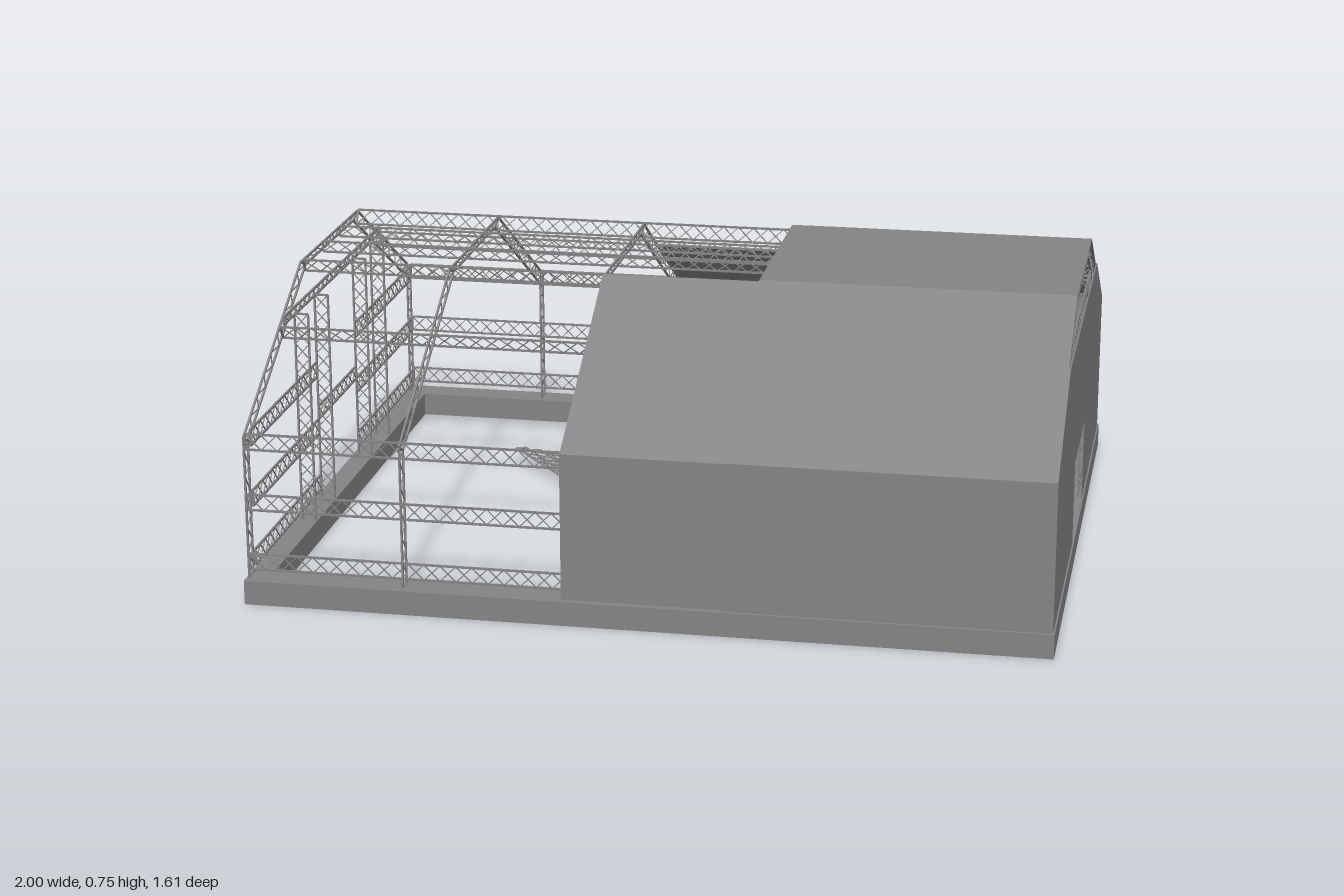
import * as THREE from 'three';
import { mergeGeometries } from 'three/addons/utils/BufferGeometryUtils.js';

const mat = new THREE.MeshStandardMaterial({ color: 0x848484, flatShading: true, side: THREE.DoubleSide });
const V = (x, y, z) => new THREE.Vector3(x, y, z);
const CHORD = 0.005, LACE = 0.0025;

// square bar between two points
function bar(a, b, t) {
  const d = b.clone().sub(a);
  const g = new THREE.BoxGeometry(t, d.length(), t);
  g.applyQuaternion(new THREE.Quaternion().setFromUnitVectors(V(0, 1, 0), d.normalize()));
  const m = a.clone().add(b).multiplyScalar(0.5);
  return g.translate(m.x, m.y, m.z);
}

// flat lattice between an outer chord a0-a1 and an inner chord b0-b1
function lattice(a0, a1, b0, b1, pitch, crossed) {
  const parts = [bar(a0, a1, CHORD), bar(b0, b1, CHORD), bar(a0, b0, CHORD), bar(a1, b1, CHORD)];
  const n = Math.max(2, Math.round(a0.distanceTo(a1) / pitch));
  for (let i = 0; i < n; i++) {
    const p = [a0.clone().lerp(a1, i / n), a0.clone().lerp(a1, (i + 1) / n)];
    const q = [b0.clone().lerp(b1, i / n), b0.clone().lerp(b1, (i + 1) / n)];
    if (crossed || i % 2 === 0) parts.push(bar(p[0], q[1], LACE));
    if (crossed || i % 2 === 1) parts.push(bar(q[0], p[1], LACE));
  }
  return parts;
}

// parallel lattice: chord a-b and the same chord moved by off
const truss = (a, b, off) => lattice(a, b, a.clone().add(off), b.clone().add(off), 0.04, true);

// closed outline of [z, y] points; mirrored and reversed so it keeps its winding
function outline(C, pts) {
  const s = new C();
  [...pts].reverse().forEach(([z, y], i) => (i ? s.lineTo(-z, y) : s.moveTo(-z, y)));
  s.closePath();
  return s;
}
const extrudeX = (shape, x0, x1) =>
  new THREE.ExtrudeGeometry(shape, { depth: x1 - x0, bevelEnabled: false })
    .rotateY(Math.PI / 2).translate(x0, 0, 0);

export function createModel() {
  const root = new THREE.Group();
  const add = (name, geos) => {
    const m = new THREE.Mesh(Array.isArray(geos) ? mergeGeometries(geos) : geos, mat);
    m.name = name;
    root.add(m);
  };

  // foundation ring
  const rect = (C, x, z) => outline(C, [[-x, -z], [x, -z], [x, z], [-x, z]]);
  const ring = rect(THREE.Shape, 1, 0.806);
  ring.holes.push(rect(THREE.Path, 0.945, 0.73));
  add('foundation', new THREE.ExtrudeGeometry(ring, { depth: 0.062, bevelEnabled: false }).rotateX(-Math.PI / 2));

  // portal frames, profile points are [z, y]
  const outer = [[0.782, 0.06], [0.782, 0.428], [0.265, 0.73], [-0.265, 0.73], [-0.782, 0.428], [-0.782, 0.06]];
  const inner = [[0.748, 0.06], [0.748, 0.408], [0.222, 0.714], [-0.222, 0.714], [-0.748, 0.408], [-0.748, 0.06]];
  for (const x of [-0.993, -0.6, -0.2, 0.2, 0.6, 0.986]) {
    const at = ([z, y]) => V(x, y, z);
    const parts = [];
    for (let i = 0; i < 5; i++)
      parts.push(...lattice(at(outer[i]), at(outer[i + 1]), at(inner[i]), at(inner[i + 1]), 0.035, false));
    add('portalFrame', parts);
  }

  // wall girts and roof purlins along the length
  for (const s of [1, -1]) {
    const lengthwise = (name, z, y, off) => add(name, truss(V(-0.99, y, z), V(0.985, y, z), off));
    for (const y of [0.085, 0.24, 0.397]) lengthwise('wallGirt', s * 0.78, y, V(0, 0.04, 0));
    for (const [z, y] of [[0.467, 0.616], [0.257, 0.734]])
      lengthwise('slopePurlin', s * z - 0.004, y, V(0, -0.034, -s * 0.02));
    lengthwise('ridgePurlin', s * 0.078 - 0.006, 0.735, V(0, -0.028, 0));
  }

  // end wall framing: posts, girts, door header and tie
  for (const e of [-1, 1]) {
    const x = e * 0.986;
    for (const s of [1, -1]) {
      for (const z of [0.178, 0.355])
        add('endPost', truss(V(x, 0.06, s * z), V(x, 0.62, s * z), V(-e * 0.036, 0, 0)));
      for (const y of [0.085, 0.24, 0.397])
        add('endGirt', truss(V(x, y, s * 0.178), V(x, y, s * 0.75), V(0, 0.04, 0)));
    }
    add('doorHeader', truss(V(x, 0.28, -0.178), V(x, 0.28, 0.178), V(0, 0.035, 0)));
    add('endTie', truss(V(x, 0.617, -0.445), V(x, 0.617, 0.445), V(0, 0.02, 0)));
  }

  // thin folded sheet following a line of [z, y] points from x0 to x1
  const cladding = (name, x0, x1, pts) => {
    const inside = pts.map(([z, y]) => [z * 0.995, y > 0.06 ? y - 0.004 : y]).reverse();
    add(name, extrudeX(outline(THREE.Shape, [...pts, ...inside]), x0, x1));
  };
  cladding('mainCladding', 0.2, 0.992,
    [[0.798, 0.06], [0.798, 0.44], [0.27, 0.746], [-0.27, 0.746], [-0.798, 0.44], [-0.798, 0.06]]);
  // unfinished bay: whole front slope, lower part of the rear slope, no top
  cladding('bayFrontCladding', -0.2, 0.2, [[0.79, 0.06], [0.79, 0.436], [0.268, 0.74]]);
  cladding('bayRearCladding', -0.2, 0.2, [[-0.79, 0.06], [-0.79, 0.436], [-0.475, 0.62]]);

  // end wall with doorway, open above the tie
  const wall = outline(THREE.Shape,
    [[-0.798, 0.06], [0.798, 0.06], [0.798, 0.44], [0.487, 0.62], [-0.487, 0.62], [-0.798, 0.44]]);
  wall.holes.push(outline(THREE.Path, [[-0.172, 0.0605], [-0.172, 0.277], [0.172, 0.277], [0.172, 0.0605]]));
  add('endWall', extrudeX(wall, 0.992, 0.996));

  // spare trusses lying on the ground, slightly fanned out
  for (let i = 0; i < 3; i++) {
    const y = 0.04 - i * 0.013;
    const start = V(-0.585, y, -0.365).lerp(V(-0.515, y, -0.415), i / 2);
    const end = V(-0.22, y, 0.075).lerp(V(-0.18, y, 0.04), i / 2);
    add('spareTruss', truss(start, end, V(0.024, -0.004, -0.019)));
  }
  return root;
}
